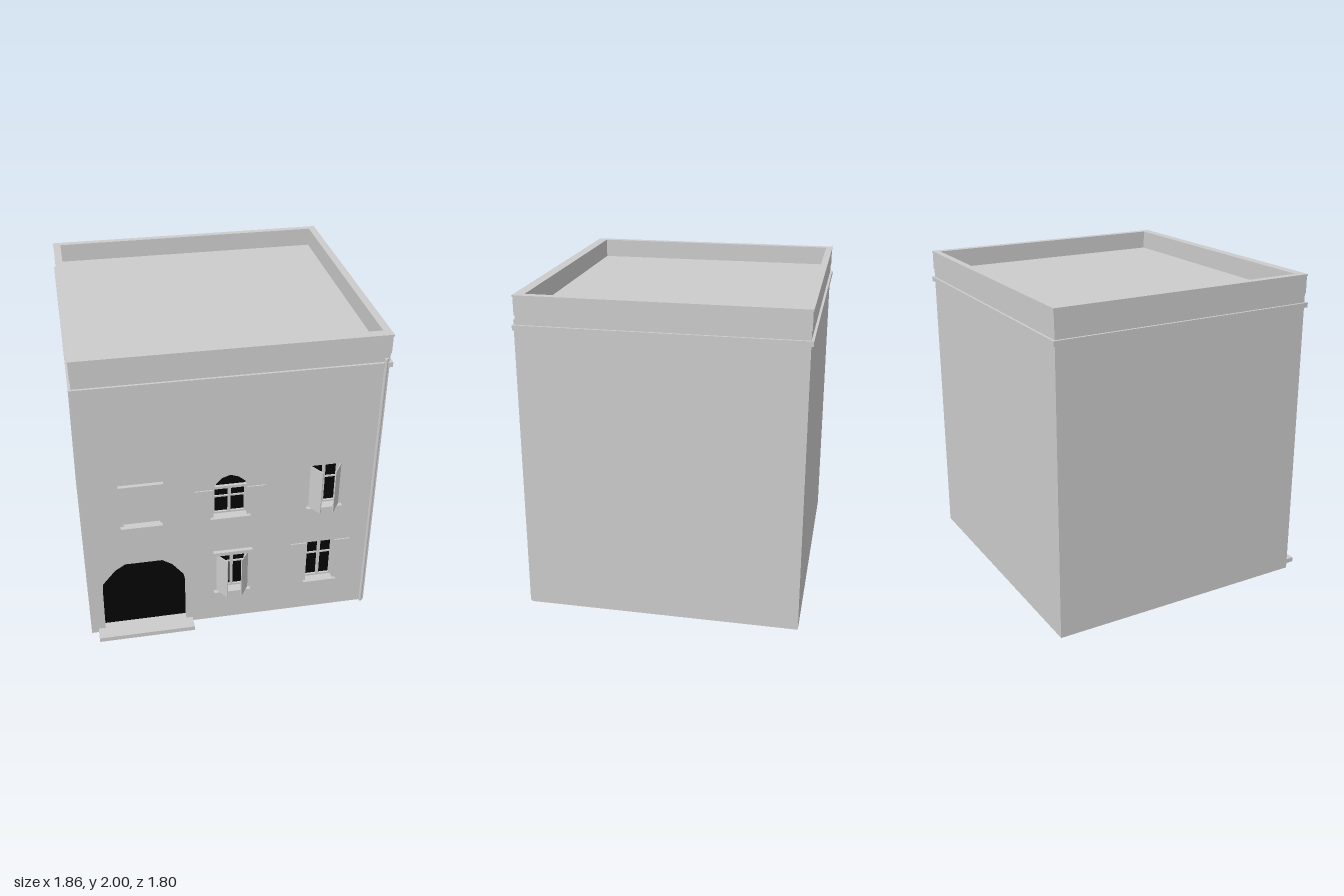
import * as THREE from 'three';

const stone = new THREE.MeshStandardMaterial({ color: 0xcccccc });
stone.name = 'pale grey stone';
const dark = new THREE.MeshStandardMaterial({ color: 0x050505 });
dark.name = 'black opening';

const FRONT = 0.81, BACK = -0.885, LEFT = -0.915, RIGHT = 0.91;
const RECESS = 0.05, PANE_Z = FRONT - RECESS;

export function createModel() {
  const house = new THREE.Group();
  house.name = 'house';

  // Box given by its limits on each axis
  const box = (name, x0, x1, y0, y1, z0, z1, mat = stone) => {
    const m = new THREE.Mesh(new THREE.BoxGeometry(x1 - x0, y1 - y0, z1 - z0), mat);
    m.position.set((x0 + x1) / 2, (y0 + y1) / 2, (z0 + z1) / 2);
    m.name = name;
    house.add(m);
    return m;
  };
  const polygon = pts => pts.map(([x, y]) => new THREE.Vector2(x, y));
  const rect = (x0, x1, y0, y1) => [[x0, y0], [x1, y0], [x1, y1], [x0, y1]];
  const extrude = (name, shape, depth, z, mat) => {
    const m = new THREE.Mesh(new THREE.ExtrudeGeometry(shape, { depth, bevelEnabled: false }), mat);
    m.position.z = z;
    m.name = name;
    house.add(m);
    return m;
  };

  // Outlines of the openings
  const doorArch = [[-0.825, 0.03], [-0.295, 0.03], [-0.295, 0.33], [-0.31, 0.41], [-0.38, 0.5],
    [-0.49, 0.575], [-0.56, 0.573], [-0.65, 0.56], [-0.74, 0.5], [-0.82, 0.4], [-0.825, 0.36]];
  const archWindow = [[-0.12, 0.84], [0.09, 0.84], [0.09, 1.045], [0.075, 1.09], [0.035, 1.125],
    [-0.015, 1.143], [-0.065, 1.125], [-0.1, 1.09], [-0.12, 1.045]];
  const upperRight = rect(0.485, 0.665, 0.84, 1.145);
  const lowerCentre = rect(-0.09, 0.1, 0.24, 0.54);
  const lowerRight = rect(0.49, 0.67, 0.24, 0.55);
  const blind = rect(-0.67, -0.445, 0.84, 1.12);

  // Walls: solid core with a pierced front skin
  box('houseBody', LEFT, RIGHT, 0, 1.88, BACK, PANE_Z);
  const wall = new THREE.Shape(polygon(rect(LEFT, RIGHT, 0, 1.88)));
  for (const hole of [doorArch, archWindow, upperRight, lowerCentre, lowerRight, blind])
    wall.holes.push(new THREE.Path(polygon(hole)));
  extrude('frontWall', wall, RECESS, PANE_Z, stone);
  box('blindWindowInfill', -0.67, -0.445, 0.84, 1.12, PANE_Z, FRONT - 0.02);

  // Dark door and panes at the back of each recess
  const doorPanel = [[-0.825, 0.03], [-0.295, 0.03], [-0.295, 0.33], [-0.31, 0.41], [-0.38, 0.5],
    [-0.74, 0.5], [-0.82, 0.4], [-0.825, 0.36]];
  const panes = { doorOpening: doorPanel, archPane: archWindow, upperRightPane: upperRight,
    lowerCentrePane: lowerCentre, lowerRightPane: lowerRight };
  for (const [name, pts] of Object.entries(panes))
    extrude(name, new THREE.Shape(polygon(pts)), 0.006, PANE_Z, dark);

  // Window frames: mullion, transom and side stiles
  const frame = (name, x0, x1, y0, y1, transom) => {
    const c = (x0 + x1) / 2, z0 = PANE_Z, z1 = PANE_Z + 0.02;
    box(name + 'Mullion', c - 0.009, c + 0.009, y0, y1, z0, z1);
    box(name + 'Transom', x0, x1, transom - 0.005, transom + 0.005, z0, z1 - 0.005);
    box(name + 'LeftStile', x0, x0 + 0.012, y0, y1, z0, z1);
    box(name + 'RightStile', x1 - 0.012, x1, y0, y1, z0, z1);
    box(name + 'BottomRail', x0, x1, y0, y0 + 0.012, z0, z1);
  };
  frame('archWindow', -0.12, 0.09, 0.84, 1.035, 0.965);
  box('archWindowHead', -0.12, 0.09, 1.027, 1.045, PANE_Z, PANE_Z + 0.025);
  frame('upperRightWindow', 0.485, 0.665, 0.84, 1.145, 1.03);
  frame('lowerCentreWindow', -0.09, 0.1, 0.24, 0.54, 0.44);
  frame('lowerRightWindow', 0.49, 0.67, 0.24, 0.55, 0.43);

  // Sills and lintels
  for (const [x0, x1, y] of [[-0.69, -0.435, 0.825], [-0.14, 0.11, 0.825], [0.465, 0.69, 0.825],
    [-0.115, 0.12, 0.225], [0.475, 0.69, 0.225]])
    box('windowSill', x0, x1, y, y + 0.015, FRONT - 0.03, FRONT + 0.028);
  box('blindWindowLintel', -0.695, -0.425, 1.12, 1.145, FRONT - 0.03, FRONT + 0.025);
  box('lowerCentreLintel', -0.12, 0.13, 0.54, 0.565, FRONT - 0.03, FRONT + 0.025);

  // Shutters folded flat against the wall
  for (const [x0, x1, y0, y1] of [[-0.235, -0.12, 0.84, 1.045], [0.09, 0.205, 0.84, 1.045],
    [0.385, 0.49, 0.24, 0.55], [0.67, 0.77, 0.24, 0.55]])
    box('flatShutter', x0, x1, y0, y1, FRONT, FRONT + 0.008);

  // Shutters standing ajar, from hinge x to free edge x
  for (const [hx, fx, y0, y1] of [[0.482, 0.535, 0.84, 1.145], [0.67, 0.613, 0.84, 1.145],
    [-0.095, -0.04, 0.24, 0.535], [0.103, 0.046, 0.24, 0.535]]) {
    const dx = fx - hx, dz = 0.085;
    const m = new THREE.Mesh(new THREE.BoxGeometry(Math.hypot(dx, dz), y1 - y0, 0.006), stone);
    m.position.set((hx + fx) / 2, (y0 + y1) / 2, FRONT + dz / 2);
    m.rotation.y = Math.atan2(-dz, dx);
    m.name = 'openShutter';
    house.add(m);
  }

  // Doorstep and rainwater pipe
  box('doorStep', -0.87, -0.255, 0, 0.03, FRONT - 0.03, 0.9);
  const pipe = new THREE.Mesh(new THREE.CylinderGeometry(0.012, 0.012, 1.85, 12), stone);
  pipe.position.set(0.886, 0.925, FRONT + 0.006);
  pipe.name = 'drainPipe';
  house.add(pipe);

  // Cornice band
  box('cornice', -0.93, 0.925, 1.795, 1.825, -0.9, 0.825);

  // Hollow parapet around the flat roof, with a thin coping
  const ring = (name, out, y0, y1) => {
    const s = new THREE.Shape(polygon(rect(LEFT - out, RIGHT + out, -FRONT - out, -BACK + out)));
    s.holes.push(new THREE.Path(polygon(rect(-0.875, 0.87, -0.755, 0.85))));
    const m = extrude(name, s, y1 - y0, 0, stone);
    m.rotation.x = -Math.PI / 2;
    m.position.y = y0;
  };
  ring('parapet', 0.004, 1.88, 1.99);
  ring('parapetCoping', 0.008, 1.99, 2.0);

  return house;
}
